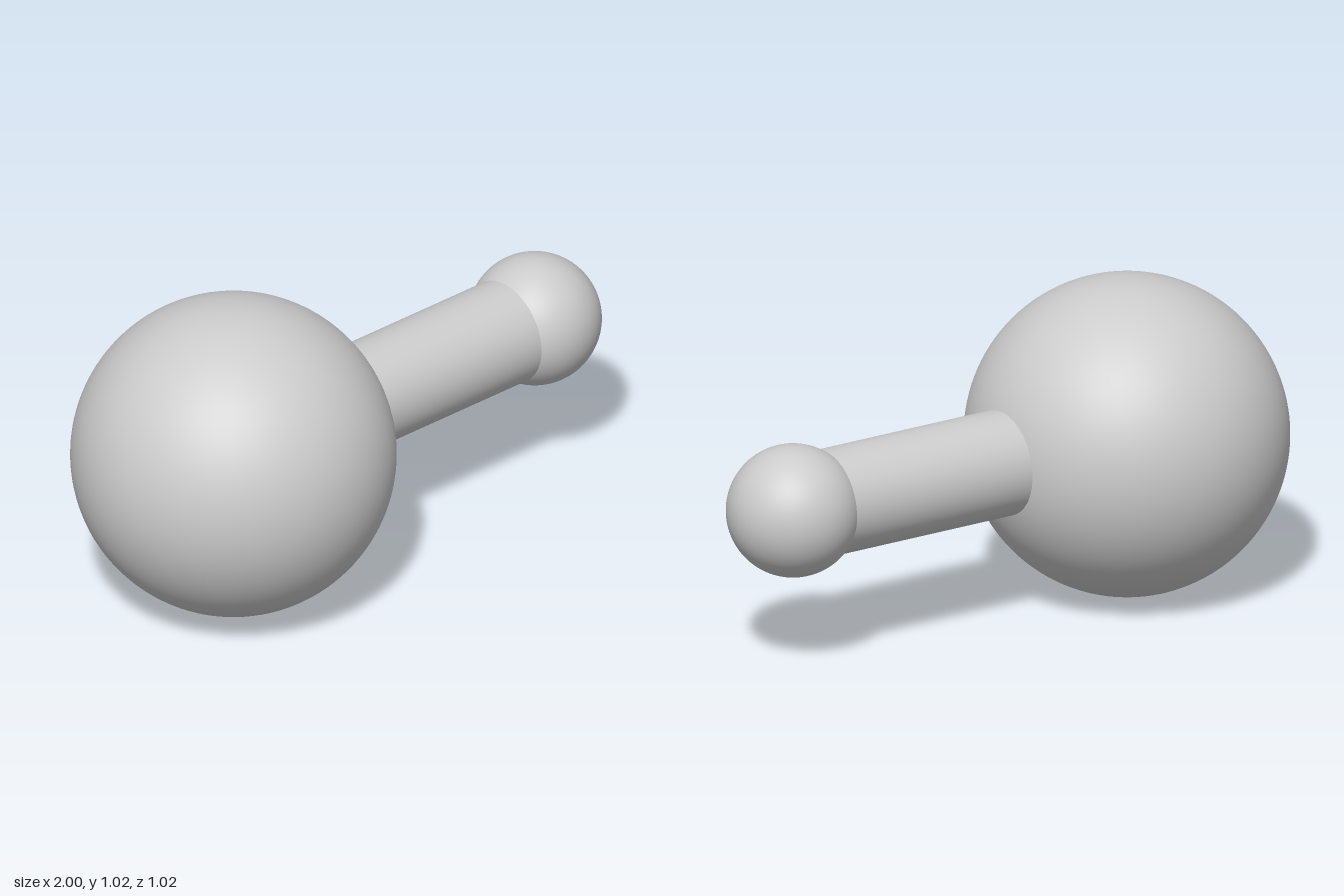
import * as THREE from 'three';

const material = new THREE.MeshStandardMaterial({ color: 0xcccccc });
const AXIS_Y = 0.51;

function ball(name, radius, x) {
  const mesh = new THREE.Mesh(new THREE.SphereGeometry(radius, 96, 64), material);
  mesh.name = name;
  mesh.position.set(x, AXIS_Y, 0);
  return mesh;
}

export function createModel() {
  const group = new THREE.Group();
  group.name = 'ballHandle';

  // Large ball on the right and small ball on the left
  group.add(ball('largeBall', 0.51, -0.49), ball('smallBall', 0.21, 0.79));

  // Rod joining the balls, its ends just inside their surfaces
  const x0 = -0.02, x1 = 0.675;
  const rod = new THREE.Mesh(new THREE.CylinderGeometry(0.168, 0.168, x1 - x0, 96), material);
  rod.name = 'rod';
  rod.rotation.z = -Math.PI / 2;
  rod.position.set((x0 + x1) / 2, AXIS_Y, 0);
  group.add(rod);

  return group;
}
